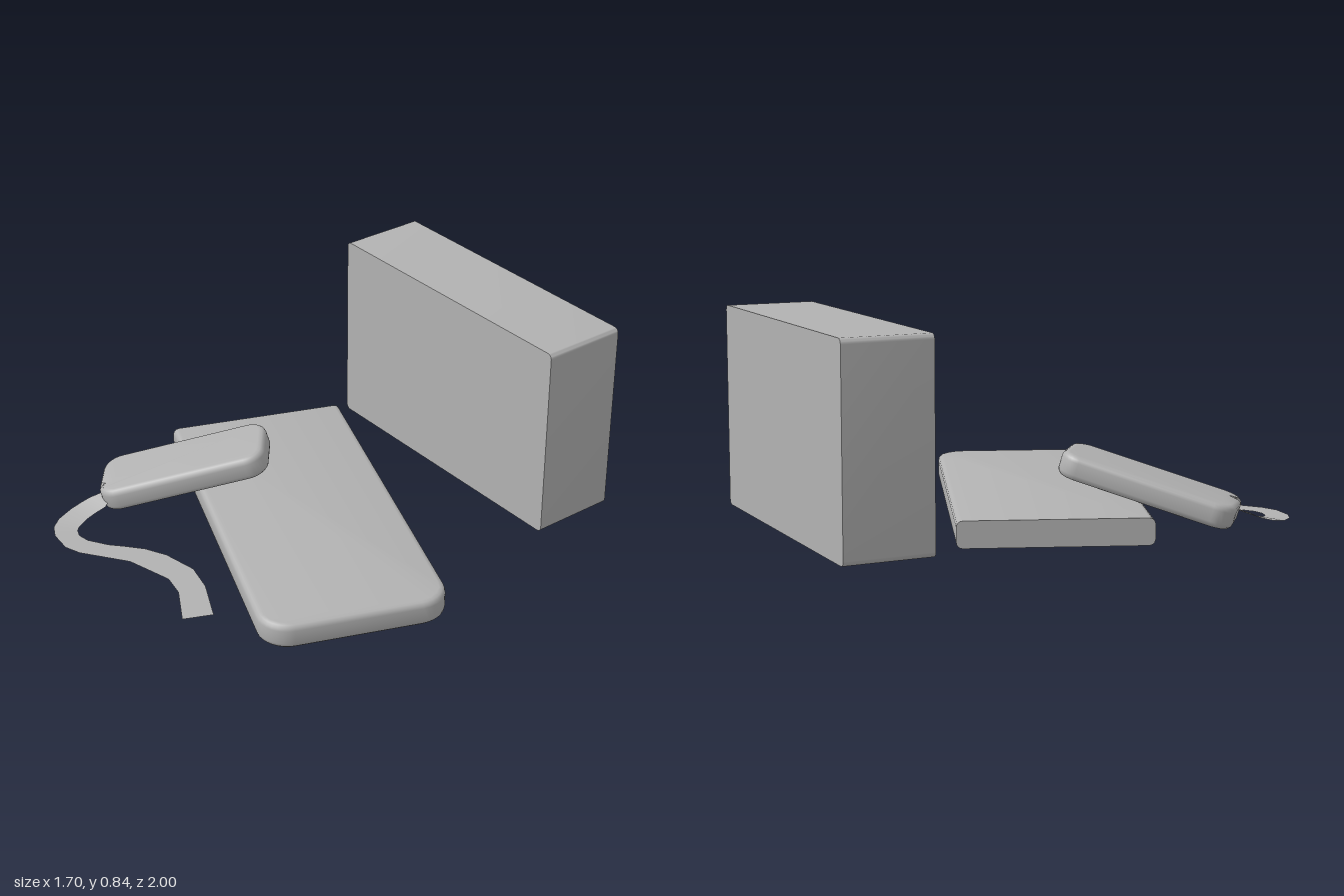
import * as THREE from 'three';
import { toCreasedNormals } from 'three/addons/utils/BufferGeometryUtils.js';

const grey = new THREE.MeshStandardMaterial({ color: 0xb2b2b2 });
grey.name = 'grey';
const greyCloth = grey.clone();
greyCloth.name = 'greyCloth';
greyCloth.side = THREE.DoubleSide;

// Rectangle with separate radii for the low-x and high-x corners
function roundedRect(x0, y0, x1, y1, rLow, rHigh, notch) {
  const s = new THREE.Shape();
  const H = Math.PI / 2;
  const corner = (x, y, r, a) => {
    if (r > 0) s.absarc(x, y, r, a, a + H, false);
    else s.lineTo(x, y);
  };
  s.moveTo(x0 + rLow, y0);
  corner(x1 - rHigh, y0 + rHigh, rHigh, -H);
  corner(x1 - rHigh, y1 - rHigh, rHigh, 0);
  if (notch) {
    s.lineTo(notch.x + notch.w, y1);
    s.lineTo(notch.x, y1 - notch.depth);
    s.lineTo(notch.x - notch.w, y1);
  }
  corner(x0 + rLow, y1 - rLow, rLow, H);
  corner(x0 + rLow, y0 + rLow, rLow, 2 * H);
  return s;
}

// Flat plate lying in xz, centred on y = 0, with rounded rims
function plate(shape, thickness, bevel) {
  const depth = thickness - 2 * bevel;
  const g = new THREE.ExtrudeGeometry(shape, {
    depth, curveSegments: 4, bevelEnabled: true,
    bevelThickness: bevel, bevelSize: bevel, bevelSegments: 3,
  });
  g.rotateX(Math.PI / 2);
  g.translate(0, depth / 2, 0);
  return g;
}

function addMesh(group, name, geometry, material = grey) {
  const m = new THREE.Mesh(geometry, material);
  m.name = name;
  group.add(m);
  return m;
}

export function createModel() {
  const model = new THREE.Group();
  model.name = 'boxSlabAndRemote';

  // Upright box behind, softened only along its depth edges
  const boxGeo = new THREE.ExtrudeGeometry(
    roundedRect(-0.678, 0, 0.632, 0.842, 0.022, 0.022),
    { depth: 0.37, bevelEnabled: false, curveSegments: 3 });
  boxGeo.translate(0, 0, -1);
  addMesh(model, 'uprightBox', toCreasedNormals(boxGeo, 0.6));

  // Lying slab: rounded at one end, cut flat at the other
  const slabGeo = plate(roundedRect(0, 0.025, 1.537, 0.74, 0, 0.1), 0.108, 0.025);
  const p = slabGeo.attributes.position;
  for (let i = 0; i < p.count; i++) p.setX(i, Math.max(0, p.getX(i)));
  const slab = addMesh(model, 'slab', toCreasedNormals(slabGeo, 0.6));
  slab.position.set(-0.572, 0.054, -0.5);
  slab.rotation.y = -0.369;

  // Small remote leaning on the slab, notched where the strap leaves
  const remoteGeo = plate(
    roundedRect(-0.13, -0.34, 0.13, 0.34, 0.06, 0.06, { x: 0.075, w: 0.03, depth: 0.05 }),
    0.1, 0.025);
  const remote = addMesh(model, 'remote', toCreasedNormals(remoteGeo, 0.6));
  remote.position.set(-0.49, 0.157, 0.39);
  remote.rotation.set(0.285, -0.68, 0, 'YXZ');

  // Strap cross-sections: outer x, z, inner x, z, height
  const sections = [
    [-0.66, 0.70, -0.60, 0.70, 0.065],
    [-0.685, 0.75, -0.58, 0.74, 0.045],
    [-0.70, 0.79, -0.59, 0.79, 0.025],
    [-0.70, 0.84, -0.59, 0.83, 0.012],
    [-0.68, 0.91, -0.575, 0.875, 0.002],
    [-0.64, 0.96, -0.555, 0.895, 0.001],
    [-0.58, 0.99, -0.52, 0.908, 0.001],
    [-0.48, 1.0, -0.47, 0.90, 0.001],
    [-0.41, 0.975, -0.39, 0.85, 0.001],
    [-0.32, 0.91, -0.33, 0.795, 0.001],
    [-0.23, 0.845, -0.27, 0.745, 0.001],
    [-0.14, 0.82, -0.18, 0.70, 0.001],
    [-0.03, 0.79, -0.03, 0.67, 0.001],
    [0.07, 0.81, 0.10, 0.70, 0.001],
    [0.23, 0.90, 0.28, 0.785, 0.001],
  ];
  const verts = [], index = [];
  sections.forEach(([ox, oz, ix, iz, y], i) => {
    verts.push(ox, y, oz, ix, y, iz);
    const a = 2 * i;
    if (i < sections.length - 1) index.push(a, a + 2, a + 1, a + 1, a + 2, a + 3);
  });
  const strapGeo = new THREE.BufferGeometry();
  strapGeo.setAttribute('position', new THREE.Float32BufferAttribute(verts, 3));
  strapGeo.setIndex(index);
  strapGeo.computeVertexNormals();
  addMesh(model, 'strap', strapGeo, greyCloth);

  return model;
}
